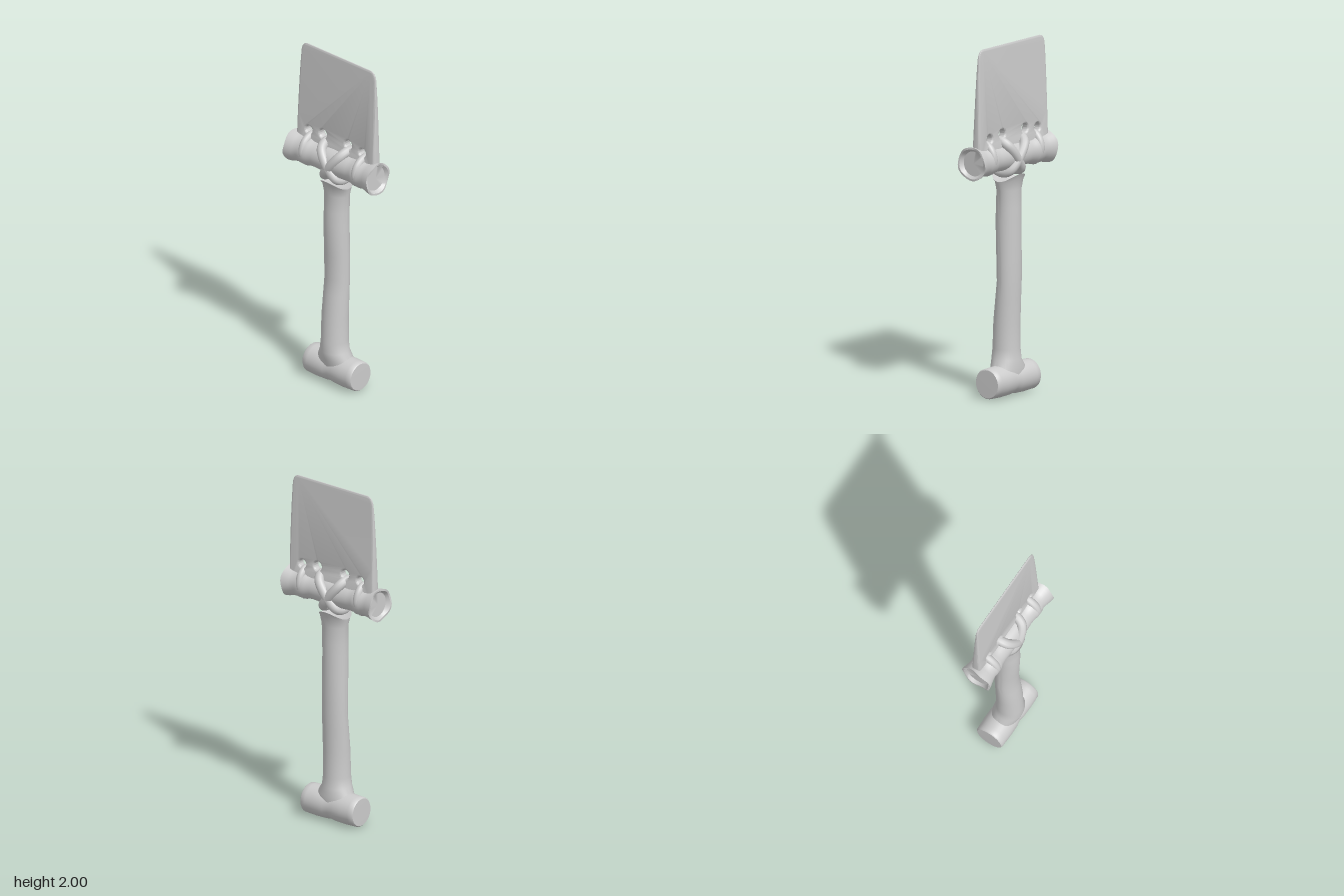
import * as THREE from 'three';
import { toCreasedNormals } from 'three/addons/utils/BufferGeometryUtils.js';

const mat = new THREE.MeshStandardMaterial({ color: 0xcccccc, side: THREE.DoubleSide });

function add(group, name, geometry) {
  const mesh = new THREE.Mesh(geometry, mat);
  mesh.name = name;
  group.add(mesh);
  return mesh;
}

// Round bar along x, mirrored from a half profile of [x, radius], centre first
function barGeometry(half, y, warp) {
  const right = half.map(([x, r]) => new THREE.Vector2(r, x));
  const left = half.slice(1).reverse().map(([x, r]) => new THREE.Vector2(r, -x));
  const g = new THREE.LatheGeometry([...left, ...right], 40);
  g.rotateZ(-Math.PI / 2);
  const p = g.attributes.position;
  const v = new THREE.Vector3();
  if (warp) {
    for (let i = 0; i < p.count; i++) {
      warp(v.fromBufferAttribute(p, i));
      p.setXYZ(i, v.x, v.y, v.z);
    }
  }
  g.translate(0, y, 0);
  return toCreasedNormals(g, 0.7);
}

// Thin tapering blade with lashing holes and softened edges
function bladeGeometry() {
  const s = new THREE.Shape();
  s.moveTo(-0.298, 1.36);
  s.lineTo(0.298, 1.36);
  s.lineTo(0.298, 1.5);
  s.bezierCurveTo(0.295, 1.7, 0.291, 1.85, 0.283, 1.95);
  s.quadraticCurveTo(0.277, 2, 0.24, 2);
  s.lineTo(-0.24, 2);
  s.quadraticCurveTo(-0.277, 2, -0.283, 1.95);
  s.bezierCurveTo(-0.291, 1.85, -0.295, 1.7, -0.298, 1.5);
  s.closePath();
  for (const [x, y, r] of [[0.205, 1.488, 0.024], [0.097, 1.5, 0.026]]) {
    for (const side of [-1, 1]) {
      s.holes.push(new THREE.Path().absellipse(x * side, y, r, r, 0, Math.PI * 2));
    }
  }
  const g = new THREE.ExtrudeGeometry(s, {
    depth: 0.5, bevelThickness: 0.25, bevelSize: 0.012, bevelOffset: -0.012,
    bevelSegments: 3, curveSegments: 16,
  });
  const p = g.attributes.position;
  for (let i = 0; i < p.count; i++) {
    const t = (p.getY(i) - 1.36) / 0.64;
    const thickness = THREE.MathUtils.lerp(0.06, 0.01, t);
    p.setZ(i, -0.013 - 0.007 * t + (p.getZ(i) - 0.25) * thickness);
  }
  return toCreasedNormals(g, 0.6);
}

// Slightly crooked handle: rows of [y, half width, half depth, centre z]
function handleGeometry() {
  const rows = [
    [0.1, 0.125, 0.07, 0], [0.165, 0.112, 0.082, 0.006], [0.21, 0.085, 0.082, 0.014],
    [0.27, 0.078, 0.077, 0.014], [0.42, 0.078, 0.073, 0.011], [0.56, 0.077, 0.067, 0.001],
    [0.65, 0.077, 0.063, -0.006], [0.8, 0.077, 0.066, -0.004], [1.0, 0.075, 0.069, 0],
    [1.07, 0.076, 0.066, -0.002], [1.17, 0.08, 0.062, -0.004], [1.22, 0.09, 0.07, -0.004],
    [1.24, 0.092, 0.09, -0.002], [1.225, 0.07, 0.065, 0], [1.21, 0, 0, 0],
  ];
  const g = new THREE.LatheGeometry(rows.map(([y]) => new THREE.Vector2(1, y)), 36);
  const p = g.attributes.position;
  for (let i = 0; i < p.count; i++) {
    const [y, rx, rz, cz] = rows[i % rows.length];
    const c = p.getZ(i);
    // saddle-shaped top: horns at front and back, low at the sides
    const lift = y > 1.2 && rx > 0 ? 0.045 * (c * c - 0.4) * (y > 1.23 ? 1 : 0.5) : 0;
    p.setXYZ(i, p.getX(i) * rx, y + lift, cz + c * rz);
  }
  return toCreasedNormals(g, 0.9);
}

function strapGeometry(points, radius) {
  const curve = new THREE.CatmullRomCurve3(points.map((a) => new THREE.Vector3(...a)), true);
  return new THREE.TubeGeometry(curve, 64, radius, 12, true);
}

export function createModel() {
  const model = new THREE.Group();
  model.name = 'shovel';

  add(model, 'blade', bladeGeometry());
  add(model, 'handle', handleGeometry());

  // Cross bar with flared, hollowed ends
  const crossProfile = [
    [0, 0.08], [0.06, 0.078], [0.13, 0.074], [0.165, 0.077], [0.18, 0.083], [0.225, 0.083],
    [0.24, 0.079], [0.27, 0.084], [0.3, 0.092], [0.322, 0.095], [0.322, 0.084], [0.3, 0.07], [0.3, 0],
  ];
  add(model, 'crossBar', barGeometry(crossProfile, 1.36, (v) => {
    if (Math.abs(v.x) > 0.31) {
      const a = Math.atan2(v.z, v.y);
      v.x += Math.sign(v.x) * (0.004 * Math.sin(a) - 0.01 * Math.cos(2 * a + 0.8) ** 2);
    }
  }));

  // Bottom grip
  const gripProfile = [
    [0, 0.08], [0.03, 0.086], [0.1, 0.088], [0.15, 0.086], [0.178, 0.085],
    [0.185, 0.079], [0.186, 0],
  ];
  add(model, 'grip', barGeometry(gripProfile, 0.093));

  // Crossed lashings through the inner holes, bands through the outer ones
  for (const s of [-1, 1]) {
    const name = s > 0 ? 'left' : 'right';
    add(model, name + 'DiagonalLashing', strapGeometry([
      [s * 0.085, 1.455, -0.01], [s * 0.07, 1.43, 0.045], [s * 0.015, 1.36, 0.068],
      [-s * 0.045, 1.285, 0.05], [-s * 0.055, 1.27, 0],
      [-s * 0.045, 1.285, -0.05], [s * 0.015, 1.36, -0.07], [s * 0.07, 1.43, -0.055],
    ], 0.028));
    add(model, name + 'Band', strapGeometry([
      [s * 0.204, 1.452, -0.012], [s * 0.204, 1.42, 0.045], [s * 0.202, 1.36, 0.062],
      [s * 0.202, 1.3, 0.02], [s * 0.202, 1.3, -0.02],
      [s * 0.202, 1.36, -0.062], [s * 0.204, 1.42, -0.05],
    ], 0.023));
  }
  return model;
}
